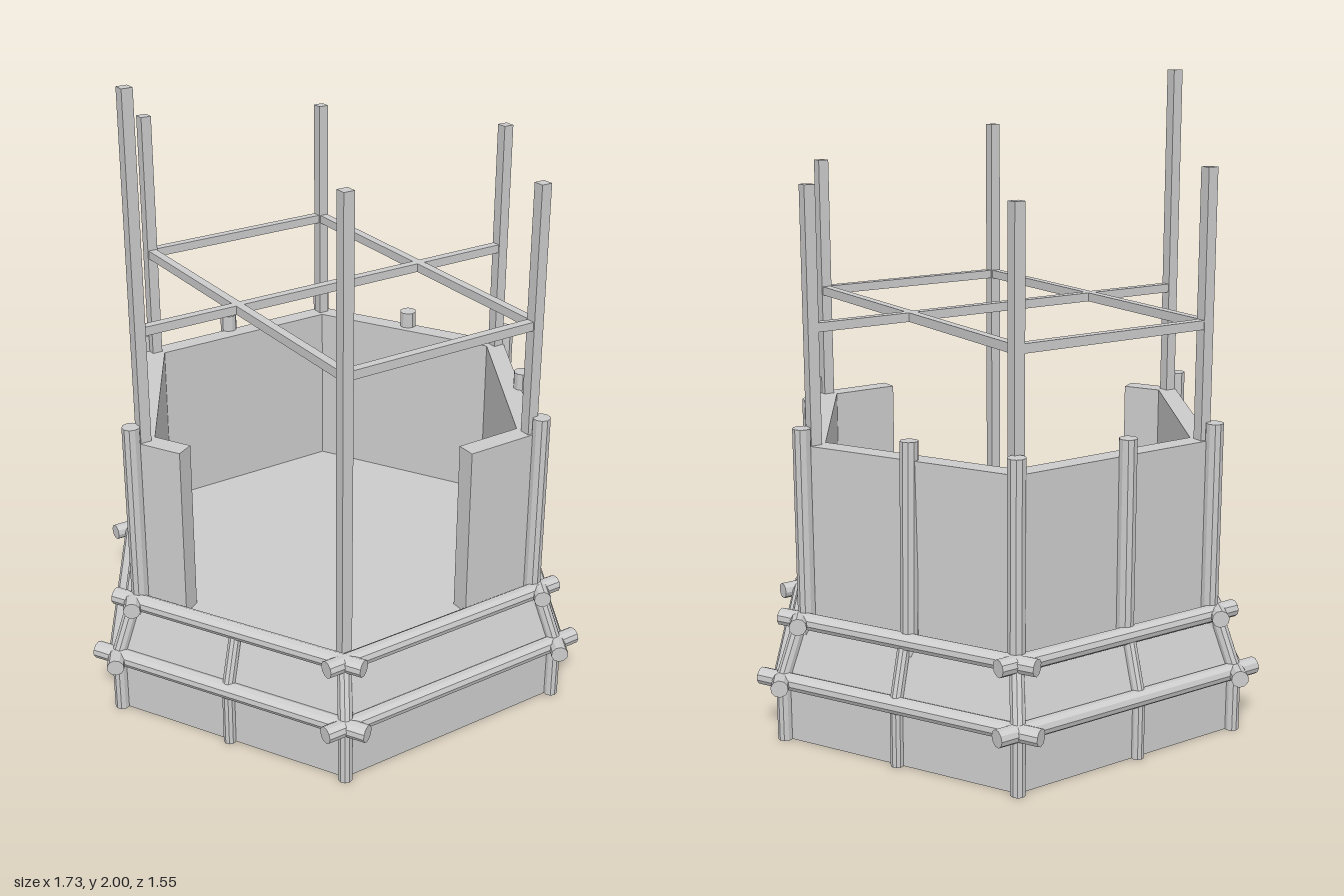
import * as THREE from 'three';

const mat = new THREE.MeshStandardMaterial({ color: 0xcccccc, flatShading: true });
const matTwoSided = new THREE.MeshStandardMaterial({ color: 0xcccccc, flatShading: true, side: THREE.DoubleSide });

// hexagon corner k (0 = +x, then towards the front) at radius r and height y
const corner = (k, r, y) => {
  const a = (k * Math.PI) / 3;
  return new THREE.Vector3(r * Math.cos(a), y, r * Math.sin(a));
};
// point on face k, shifted by s from the middle of the face
const onFace = (k, r, y, s) => {
  const a = corner(k, r, y), b = corner(k + 1, r, y);
  const dir = b.clone().sub(a).normalize();
  return a.add(b).multiplyScalar(0.5).addScaledVector(dir, s);
};

export function createModel() {
  const model = new THREE.Group();

  const add = (name, geometry, material = mat) => {
    const mesh = new THREE.Mesh(geometry, material);
    mesh.name = name;
    model.add(mesh);
    return mesh;
  };
  // round log between two points
  const log = (name, a, b, r) => {
    const d = b.clone().sub(a);
    const mesh = add(name, new THREE.CylinderGeometry(r, r, d.length(), 10));
    mesh.position.copy(a).addScaledVector(d, 0.5);
    mesh.quaternion.setFromUnitVectors(new THREE.Vector3(0, 1, 0), d.normalize());
  };
  const box = (name, w, h, d, x, y, z) =>
    add(name, new THREE.BoxGeometry(w, h, d)).position.set(x, y, z);
  // upright prism over a plan outline
  const prism = (name, pts, y0, y1) => {
    const shape = new THREE.Shape(pts.map((p) => new THREE.Vector2(p.x, -p.z)));
    const g = new THREE.ExtrudeGeometry(shape, { depth: y1 - y0, bevelEnabled: false });
    g.rotateX(-Math.PI / 2);
    g.translate(0, y0, 0);
    add(name, g);
  };

  // flared base skirt, open below
  const profile = [[0.795, 0], [0.795, 0.2], [0.725, 0.38], [0.7, 0.38], [0.772, 0.2], [0.772, 0], [0.795, 0]]
    .map(([r, y]) => new THREE.Vector2(r, y));
  add('baseSkirt', new THREE.LatheGeometry(profile, 6, Math.PI / 2), matTwoSided);

  // floor
  prism('floor', [0, 1, 2, 3, 4, 5].map((k) => corner(k, 0.712, 0)), 0.34, 0.365);

  for (let k = 0; k < 6; k++) {
    // horizontal rails that cross at the corners
    for (const [name, r, y, over] of [['lowerRail', 0.808, 0.195, 0.072], ['upperRail', 0.742, 0.375, 0.064]]) {
      const half = r / 2 + over;
      log(name, onFace(k, r, y, -half), onFace(k, r, y, half), 0.027);
    }
    // corner posts of the base
    log('basePost', corner(k, 0.8, 0), corner(k, 0.8, 0.2), 0.023);
    log('slopedPost', corner(k, 0.805, 0.19), corner(k, 0.735, 0.38), 0.023);
    // upper corner posts, left out at the entrance
    if (k !== 2) log('cornerPost', corner(k, 0.715, k === 3 ? 0.22 : 0.33), corner(k, 0.715, 0.975), 0.028);
  }

  // middle posts on four faces
  for (const [k, s] of [[0, 0], [2, 0], [4, -0.03], [5, 0]]) {
    log('baseMiddlePost', onFace(k, 0.8, 0, s), onFace(k, 0.8, 0.2, s), 0.02);
    log('slopedMiddlePost', onFace(k, 0.805, 0.19, s), onFace(k, 0.735, 0.38, s), 0.02);
  }
  const v = (x, y, z) => new THREE.Vector3(x, y, z);
  log('middlePost', v(0.525, 0.33, 0.325), v(0.525, 0.975, 0.325), 0.028);
  log('middlePost', v(0.538, 0.33, -0.318), v(0.518, 0.975, -0.3), 0.028);
  log('middlePost', v(-0.03, 0.33, -0.62), v(-0.03, 0.975, -0.62), 0.028);

  // parapet walls: four whole, two short ones beside the entrance
  const outer = 0.707, inner = 0.637;
  for (const [k, from, to] of [[0, -1, 1], [1, -1, -0.1], [2, 0.193, 1], [3, -1, 1], [4, -1, 1], [5, -1, 1]]) {
    const clip = (r, s) => onFace(k, r, 0, THREE.MathUtils.clamp(s, -r / 2, r / 2));
    prism('wall', [clip(outer, from), clip(outer, to), clip(inner, to), clip(inner, from)], 0.325, 0.92);
  }

  // tall square poles
  const poles = [[0.675, 0, 1.695], [0.337, 0.588, 1.71], [-0.337, 0.588, 1.805],
    [-0.675, 0, 2], [-0.337, -0.585, 1.74], [0.337, -0.585, 1.68]];
  for (const [x, z, top] of poles) box('pole', 0.035, top - 0.34, 0.035, x, (top + 0.34) / 2, z);

  // roof frame bars
  const barY = 1.275, t = 0.028;
  box('crossBar', 1.34, t, t, 0, barY, 0);
  for (const side of [-1, 1]) {
    box('sideBar', t, t, 1.17, side * 0.337, barY, 0);
    box('endBar', 0.67, t, t, 0, barY, side * 0.587);
  }

  return model;
}
